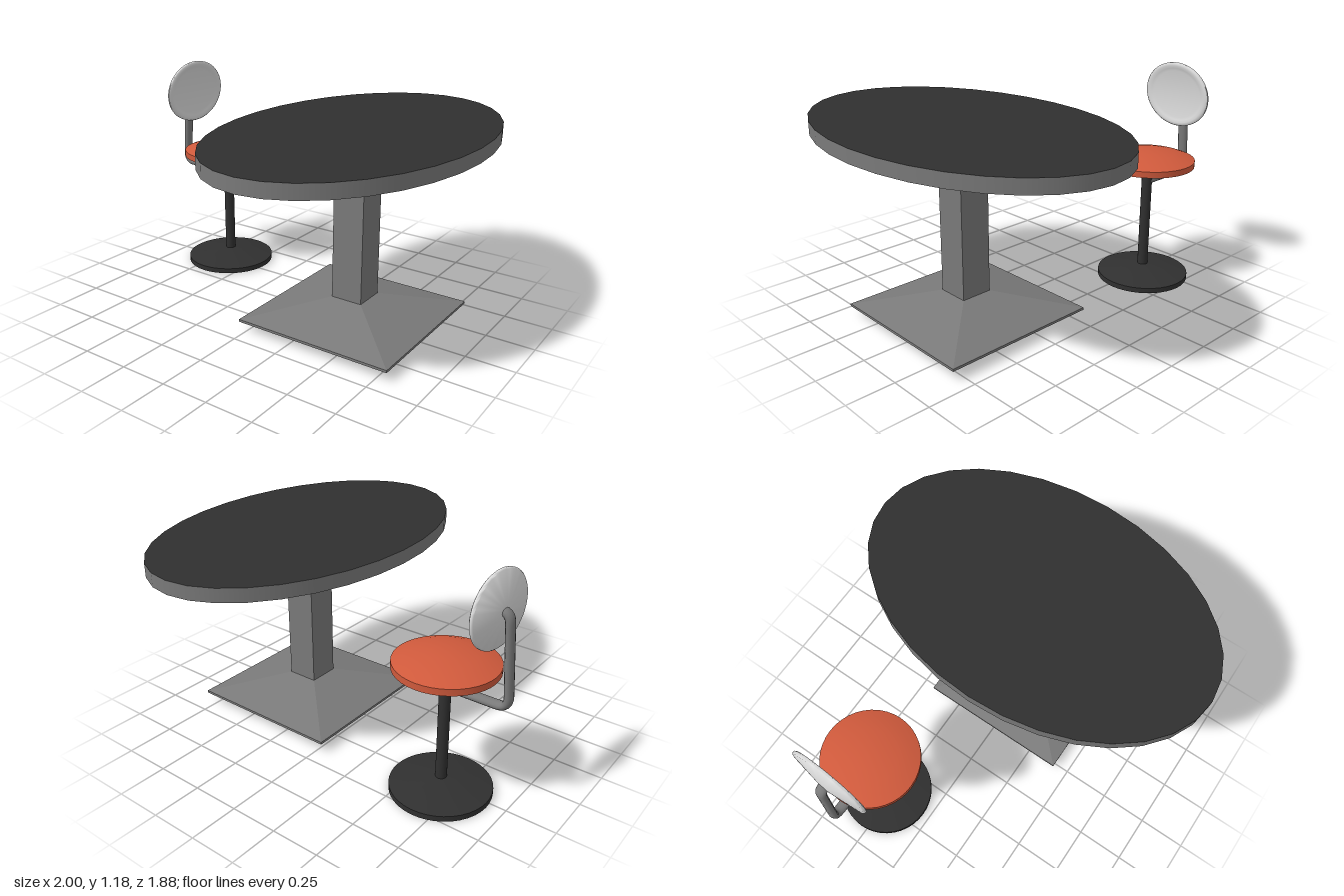
import * as THREE from 'three';
import { toCreasedNormals } from 'three/addons/utils/BufferGeometryUtils.js';

const material = (name, color) => {
  const m = new THREE.MeshStandardMaterial({ color });
  m.name = name;
  return m;
};

export function createModel() {
  const black = material('black', 0x303030);
  const grey = material('metal grey', 0x7a7a7a);
  const red = material('seat red', 0xd05a3c);
  const white = material('off white', 0xdadada);

  const add = (parent, name, geometry, mat, x = 0, y = 0, z = 0) => {
    const mesh = new THREE.Mesh(geometry, mat);
    mesh.name = name;
    mesh.position.set(x, y, z);
    parent.add(mesh);
    return mesh;
  };
  const lathe = (points, segments = 40) => toCreasedNormals(
    new THREE.LatheGeometry(points.map(([r, y]) => new THREE.Vector2(r, y)), segments), 0.5);
  // Square tapering block, given half widths
  const squareBlock = (top, bottom, height) => toCreasedNormals(
    new THREE.CylinderGeometry(top * Math.SQRT2, bottom * Math.SQRT2, height, 4, 1, false, Math.PI / 4), 0.1);

  const model = new THREE.Group();
  model.name = 'tableAndStool';

  // Table: oval top, square column, flared square foot
  const table = new THREE.Group();
  table.name = 'table';
  table.position.set(0.387, 0, 0);
  model.add(table);
  const top = new THREE.CylinderGeometry(1, 1, 0.07, 32).scale(0.612, 1, 0.94);
  add(table, 'tableTop', top, [grey, black, black], 0, 0.985, 0);
  add(table, 'tableColumn', new THREE.BoxGeometry(0.168, 0.81, 0.168), grey, 0, 0.55, 0);
  add(table, 'tableFootSlope', squareBlock(0.084, 0.42, 0.09), grey, 0, 0.107, 0);
  add(table, 'tableFootEdge', squareBlock(0.42, 0.42, 0.013), grey, 0, 0.0565, 0);

  // Stool: conical foot, post and domed seat
  const stool = new THREE.Group();
  stool.name = 'stool';
  stool.position.set(-0.667, 0, -0.287);
  model.add(stool);
  add(stool, 'stoolFoot', lathe([[0, 0], [0.249, 0], [0.249, 0.028], [0.028, 0.07], [0, 0.07]]), black);
  add(stool, 'stoolPost', new THREE.CylinderGeometry(0.028, 0.028, 0.57, 20), black, 0, 0.345, 0);
  add(stool, 'seat', lathe([
    [0, 0.615], [0.028, 0.615], [0.249, 0.657], [0.249, 0.69],
    [0.2, 0.708], [0.14, 0.722], [0.07, 0.732], [0, 0.735],
  ]), red);

  // Bent arm, wider than it is thick
  const v = (x, y) => new THREE.Vector3(x, y, 0);
  const path = new THREE.CurvePath();
  path.add(new THREE.LineCurve3(v(0, 0.563), v(-0.262, 0.563)));
  path.add(new THREE.QuadraticBezierCurve3(v(-0.262, 0.563), v(-0.317, 0.563), v(-0.315, 0.618)));
  path.add(new THREE.LineCurve3(v(-0.315, 0.618), v(-0.293, 0.96)));
  path.add(new THREE.QuadraticBezierCurve3(v(-0.293, 0.96), v(-0.29, 1.005), v(-0.255, 1.005)));
  const arm = new THREE.TubeGeometry(path, 64, 0.02, 14, false).scale(1, 1, 1.4);
  add(stool, 'backArm', arm, grey);

  // Oval backrest: shallow cone behind, dished face in front
  const back = lathe([
    [0, -0.032], [0.15, -0.029], [0.97, -0.004], [1, 0.002], [1, 0.01],
    [0.97, 0.015], [0.9, 0.016], [0.82, 0.011], [0.74, 0.007], [0, 0.007],
  ], 48);
  back.scale(0.175, 1, 0.213).rotateZ(-Math.PI / 2);
  const backrest = add(stool, 'backrest', toCreasedNormals(back, 0.9), white, -0.239, 1.005, 0.008);
  backrest.rotation.set(0, -0.06, -0.04);

  return model;
}
